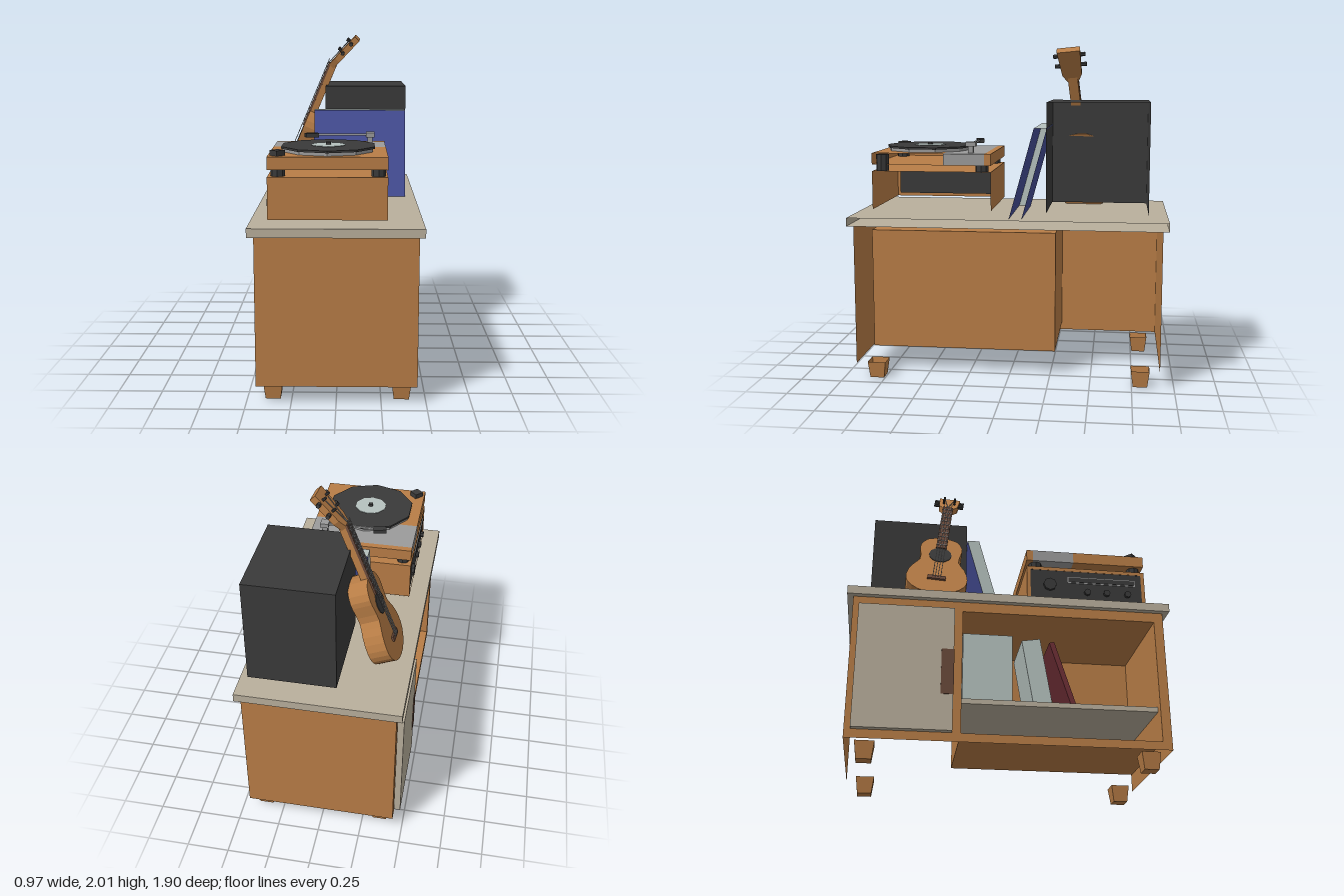
import * as THREE from 'three';

const mat = (name, color) => {
  const m = new THREE.MeshStandardMaterial({ color, flatShading: true, side: THREE.DoubleSide });
  m.name = name;
  return m;
};

export function createModel() {
  const wood = mat('wood', 0xb87d46), stone = mat('stone', 0xb9af9c), black = mat('black', 0x3a3a3a);
  const pale = mat('pale card', 0xb6c2bf), blue = mat('blue', 0x47509a), metal = mat('metal', 0x9b9b9b);
  const brown = mat('dark brown', 0x6a4a3b), red = mat('dark red', 0x6e2f36);
  const root = new THREE.Group();

  const add = (name, geo, material, parent = root) => {
    const m = new THREE.Mesh(geo, material);
    m.name = name;
    parent.add(m);
    return m;
  };
  // Box from its limits; omit lists open faces (0 +x, 1 -x, 2 +y, 3 -y, 4 +z, 5 -z)
  const box = (name, material, [x0, x1], [y0, y1], [z0, z1], omit = [], parent = root) => {
    const g = new THREE.BoxGeometry(x1 - x0, y1 - y0, z1 - z0);
    g.translate((x0 + x1) / 2, (y0 + y1) / 2, (z0 + z1) / 2);
    if (omit.length) {
      const idx = Array.from(g.index.array);
      g.setIndex(idx.filter((_, i) => !omit.includes(Math.floor(i / 6))));
      if (!Array.isArray(material)) g.clearGroups();
      else {
        g.clearGroups();
        [0, 1, 2, 3, 4, 5].filter(f => !omit.includes(f)).forEach((f, i) => g.addGroup(i * 6, 6, f));
      }
    }
    return add(name, g, material, parent);
  };
  const cyl = (name, material, rTop, rBottom, h, sides, x, y, z, parent = root) => {
    const m = add(name, new THREE.CylinderGeometry(rTop, rBottom, h, sides), material, parent);
    m.position.set(x, y, z);
    return m;
  };
  // Upright panel facing -x, with a rectangular hole
  const framePanel = (name, material, x, [y0, y1], [z0, z1], [hy0, hy1], [hz0, hz1]) => {
    const rect = (C, a, b, c, d) => new C([[a, c], [b, c], [b, d], [a, d]].map(p => new THREE.Vector2(...p)));
    const s = rect(THREE.Shape, z0, z1, y0, y1);
    s.holes.push(rect(THREE.Path, hz0, hz1, hy0, hy1));
    const m = add(name, new THREE.ShapeGeometry(s), material);
    m.rotation.y = -Math.PI / 2;
    m.position.x = x;
  };

  // Cabinet: open at the back and underneath
  box('tableTop', stone, [-0.48, 0.48], [0.95, 1], [-0.95, 0.95], [0]);
  box('cabinetEnds', wood, [-0.445, 0.45], [0.1, 0.95], [-0.915, 0.915], [0, 1, 2, 3]);
  framePanel('cabinetFront', wood, -0.445, [0.1, 0.95], [-0.915, 0.915], [0.15, 0.89], [-0.28, 0.86]);
  box('compartment', wood, [-0.445, 0.235], [0.15, 0.89], [-0.28, 0.86], [1]);
  box('shelf', stone, [-0.4, 0.23], [0.34, 0.37], [-0.278, 0.858]);
  box('door', stone, [-0.485, -0.447], [0.15, 0.89], [-0.88, -0.33]);
  box('doorHandle', brown, [-0.489, -0.484], [0.36, 0.63], [-0.4, -0.328]);
  for (const x of [-0.355, 0.365]) for (const z of [-0.8, 0.8]) {
    const profile = [[0, 0], [0.06, 0], [0.078, 0.1]].map(p => new THREE.Vector2(...p));
    const leg = add('leg', new THREE.LatheGeometry(profile, 4, Math.PI / 4), wood);
    leg.position.set(x, 0, z);
  }

  // Records on the shelf, two of them leaning
  box('records', pale, [-0.36, -0.02], [0.37, 0.79], [-0.27, 0.02]);
  [[pale, 0.25, 0.11, 0.16], [red, 0.39, 0.03, 0.3]].forEach(([m, z, t, tilt]) => {
    const r = box('leaningRecord', m, [-0.36, -0.02], [0, 0.41], [-t, 0]);
    r.position.set(0, 0.375, z);
    r.rotation.x = -tilt;
  });

  // Receiver
  const rx = [-0.375, 0.28], rz = [0.11, 0.84];
  box('receiverCase', wood, rx, [1.025, 1.26], rz, [0, 1, 3]);
  framePanel('receiverFrame', wood, -0.375, [1.025, 1.26], rz, [1.048, 1.238], [0.132, 0.818]);
  box('receiverFace', black, [-0.37, -0.362], [1.046, 1.24], [0.13, 0.82]);
  box('receiverDial', metal, [-0.374, -0.37], [1.16, 1.2], [0.36, 0.78]);
  box('receiverDialGlass', black, [-0.377, -0.373], [1.165, 1.195], [0.365, 0.775]);
  [[0.25, 0.04, 1.14], [0.48, 0.02, 1.1], [0.6, 0.02, 1.1], [0.73, 0.02, 1.1]].forEach(([z, r, y]) => {
    cyl('receiverKnob', black, r, r, 0.024, 8, -0.376, y, z).rotation.z = Math.PI / 2;
  });

  // Turntable
  box('plinthMain', wood, rx, [1.3, 1.37], [0.4, 0.84], [0]);
  box('plinthPlate', metal, rx, [1.3, 1.37], [0.15, 0.4]);
  box('plinthRear', wood, rx, [1.3, 1.37], [0.11, 0.15]);
  for (const x of [-0.32, 0.23]) for (const z of [0.17, 0.785])
    cyl('turntableFoot', black, 0.04, 0.04, 0.1, 8, x, 1.31, z);
  cyl('platter', metal, 0.265, 0.265, 0.02, 10, -0.05, 1.38, 0.545);
  cyl('record', black, 0.275, 0.275, 0.012, 10, -0.05, 1.394, 0.545);
  cyl('recordLabel', pale, 0.1, 0.1, 0.004, 10, -0.05, 1.401, 0.545);
  box('spindle', black, [-0.063, -0.037], [1.4, 1.417], [0.532, 0.558]);
  cyl('speedKnob', black, 0.042, 0.042, 0.03, 4, -0.322, 1.385, 0.777);
  box('armPost', metal, [0.175, 0.205], [1.37, 1.41], [0.228, 0.258]);
  box('armPivot', metal, [0.165, 0.217], [1.41, 1.438], [0.21, 0.272]);
  box('toneArm', metal, [-0.13, 0.17], [1.418, 1.43], [0.234, 0.246]);
  const shell = box('headShell', black, [-0.04, 0.04], [-0.012, 0.012], [-0.024, 0.024]);
  shell.position.set(-0.158, 1.42, 0.237);
  shell.rotation.y = 0.22;

  // Leaning record sleeve, sheared backwards
  const sleeve = box('recordSleeve', [pale, pale, pale, pale, blue, blue], [-0.16, 0.42], [1, 1.535], [-0.09, -0.015], [0, 3]);
  const sp = sleeve.geometry.attributes.position;
  for (let i = 0; i < sp.count; i++) sp.setZ(i, sp.getZ(i) - (sp.getY(i) - 1) * 0.275);
  sleeve.geometry.computeVertexNormals();

  // Loudspeaker
  box('speaker', black, [-0.09, 0.425], [1.037, 1.685], [-0.83, -0.235], [0, 3]);

  // Guitar: local y runs up the neck, local z faces out of the soundboard
  const guitar = new THREE.Group();
  guitar.name = 'guitar';
  const up = new THREE.Vector3(0.39, 0.915, 0.1).normalize();
  const face = new THREE.Vector3(-0.92, 0.392, 0);
  face.addScaledVector(up, -face.dot(up)).normalize();
  const side = new THREE.Vector3().crossVectors(up, face);
  guitar.quaternion.setFromRotationMatrix(new THREE.Matrix4().makeBasis(side, up, face));
  guitar.position.set(-0.35, 1, -0.45);
  root.add(guitar);

  const half = [[0.1, 0.02], [0.17, 0.08], [0.185, 0.15], [0.16, 0.24], [0.118, 0.31], [0.125, 0.39], [0.13, 0.45], [0.09, 0.52]];
  const ring = [[0, 0], ...half, [0, 0.54], ...half.map(([x, y]) => [-x, y]).reverse()];
  const curve = new THREE.CatmullRomCurve3(ring.map(([x, y]) => new THREE.Vector3(x, y, 0)), true);
  const outline = new THREE.Shape(curve.getPoints(36).slice(0, -1).map(p => new THREE.Vector2(p.x, p.y)));
  const body = new THREE.ExtrudeGeometry(outline, { depth: 0.12, bevelEnabled: false });
  add('guitarBody', body.translate(0, 0, -0.06), wood, guitar);
  const disc = cyl('soundHole', black, 0.07, 0.07, 0.006, 12, 0, 0.365, 0.061, guitar);
  disc.rotation.x = Math.PI / 2;
  box('bridge', brown, [-0.055, 0.055], [0.12, 0.15], [0.06, 0.072], [], guitar);
  box('neck', wood, [-0.03, 0.03], [0.5, 0.89], [0.015, 0.055], [], guitar);
  box('fretboard', brown, [-0.033, 0.033], [0.43, 0.88], [0.055, 0.07], [], guitar);
  for (let i = 0; i < 10; i++) {
    const y = 0.46 + i * 0.043;
    box('fret', metal, [-0.033, 0.033], [y, y + 0.004], [0.07, 0.073], [], guitar);
  }
  for (const x of [-0.024, -0.008, 0.008, 0.024])
    box('string', metal, [x - 0.002, x + 0.002], [0.135, 0.9], [0.074, 0.078], [], guitar);

  // Headstock, bent back, with tuners
  const head = new THREE.Group();
  head.name = 'headstock';
  head.position.set(0, 0.87, 0.065);
  head.rotation.x = -0.35;
  guitar.add(head);
  const headPts = [[-0.032, 0], [0.032, 0], [0.06, 0.06], [0.07, 0.25], [-0.07, 0.25], [-0.06, 0.06]];
  const headShape = new THREE.Shape(headPts.map(p => new THREE.Vector2(...p)));
  add('headPlate', new THREE.ExtrudeGeometry(headShape, { depth: 0.04, bevelEnabled: false }).translate(0, 0, -0.04), wood, head);
  for (const s of [-1, 1]) for (const y of [0.12, 0.2]) {
    cyl('tunerPost', black, 0.008, 0.008, 0.03, 6, s * 0.035, y, 0.01, head).rotation.x = Math.PI / 2;
    cyl('tunerPeg', black, 0.013, 0.013, 0.035, 6, s * 0.08, y, -0.015, head).rotation.z = Math.PI / 2;
    box('headString', metal, [-0.002, 0.002], [0, y - 0.01], [0.006, 0.01], [], head).rotation.z = -s * 0.15;
  }
  return root;
}
